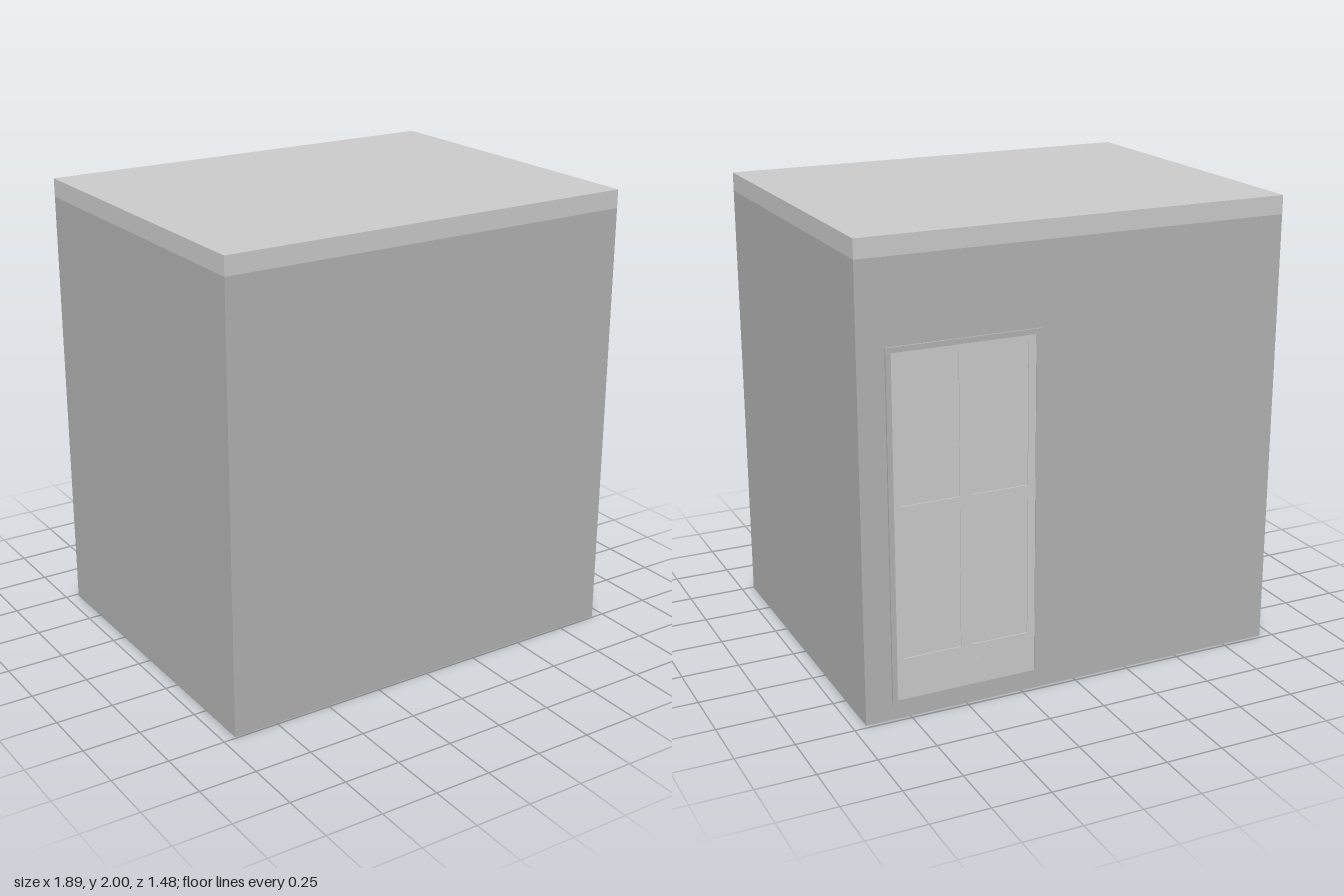
import * as THREE from 'three';

const W = 0.945, BACK = -0.733, FRONT = 0.742; // half width, back and front wall planes
const WALL_TOP = 1.92, TOP = 2, FLOOR = 0.06;
const mat = (color) => new THREE.MeshStandardMaterial({ color, flatShading: true });

// Trace a rectangle into a Shape or Path
function rect(x0, y0, x1, y1, Type = THREE.Path) {
  const p = new Type();
  p.moveTo(x0, y0);
  p.lineTo(x1, y0);
  p.lineTo(x1, y1);
  p.lineTo(x0, y1);
  p.closePath();
  return p;
}

// Extrude a rectangle with rectangular holes along +z
function plate(outer, holes, depth) {
  const shape = rect(...outer, THREE.Shape);
  holes.forEach((h) => shape.holes.push(rect(...h)));
  return new THREE.ExtrudeGeometry(shape, { depth, bevelEnabled: false });
}

// Box between two corners
function box(x0, y0, z0, x1, y1, z1) {
  return new THREE.BoxGeometry(x1 - x0, y1 - y0, z1 - z0)
    .translate((x0 + x1) / 2, (y0 + y1) / 2, (z0 + z1) / 2);
}

export function createModel() {
  const root = new THREE.Group();
  root.name = 'smallBuilding';
  const wallMat = mat(0xb3b3b3), lightMat = mat(0xcccccc);

  const add = (name, geometry, material, parent = root) => {
    const mesh = new THREE.Mesh(geometry, material);
    mesh.name = name;
    parent.add(mesh);
    return mesh;
  };

  // Outer walls with a partition between two rooms: [x0, z0, x1, z1]
  const rooms = [[-0.125, -0.69, 0.89, 0.66], [-0.82, -0.64, -0.18, 0.64]];
  const walls = plate(
    [-W, -FRONT, W, -BACK],
    rooms.map(([x0, z0, x1, z1]) => [x0, -z1, x1, -z0]),
    WALL_TOP
  ).rotateX(-Math.PI / 2);
  add('walls', walls, wallMat);

  // Floor slab in each room, flush with the underside
  rooms.forEach(([x0, z0, x1, z1]) => add('floor', box(x0, 0, z0, x1, FLOOR, z1), lightMat));

  // Flat roof slab
  add('roof', box(-W, WALL_TOP, BACK, W, TOP, FRONT), lightMat);

  // Back door: raised frame, leaf with four sunken panels
  const door = new THREE.Group();
  door.name = 'door';
  root.add(door);
  const outer = [0.17, 0.065, 0.83, 1.57], inner = [0.192, 0.087, 0.808, 1.548];
  add('doorFrame', plate(outer, [inner], 0.03).translate(0, 0, -0.742), wallMat, door);

  const panels = [];
  for (const [x0, x1] of [[0.225, 0.475], [0.525, 0.775]])
    for (const [y0, y1] of [[0.265, 0.865], [0.92, 1.525]]) panels.push([x0, y0, x1, y1]);
  add('doorLeaf', plate(inner, panels, 0.02).translate(0, 0, -0.739), lightMat, door);
  panels.forEach(([x0, y0, x1, y1]) =>
    add('doorPanel', box(x0, y0, -0.7345, x1, y1, -0.72), lightMat, door));

  // Small rivets along the foot of the door, in two staggered groups
  const rivet = new THREE.CylinderGeometry(0.005, 0.005, 0.002, 8).rotateX(Math.PI / 2);
  for (const cx of [0.35, 0.65])
    for (let i = 0; i < 7; i++)
      add('rivet', rivet, lightMat, door)
        .position.set(cx + (i - 3) * 0.035, i % 2 ? 0.14 : 0.2, -0.7395);

  return root;
}
